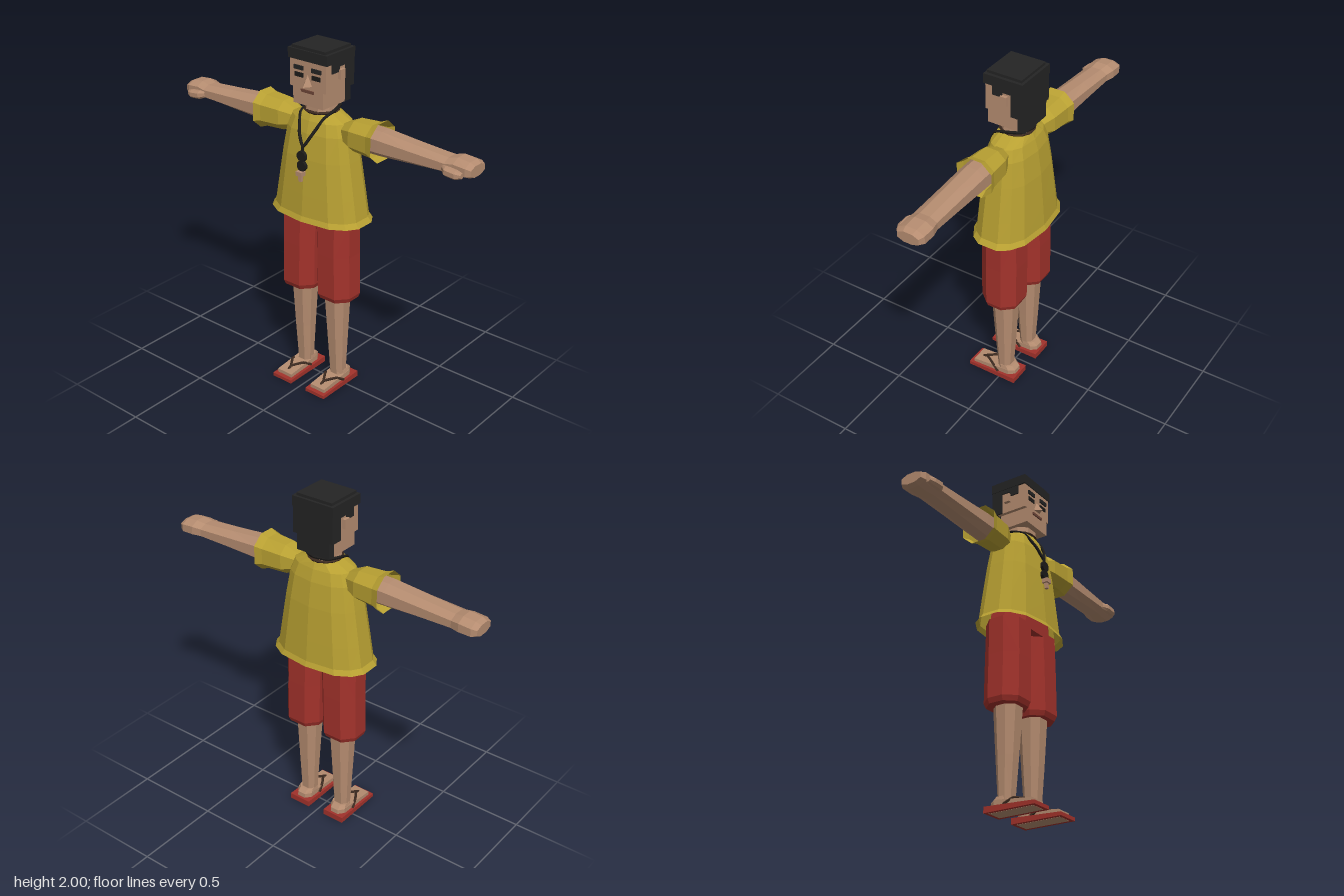
import * as THREE from 'three';
import { ConvexGeometry } from 'three/addons/geometries/ConvexGeometry.js';

const V = (x, y, z) => new THREE.Vector3(x, y, z);

// Unit cross-sections, ordered from +x towards +z
const OCT = [[1, -.42], [1, .42], [.5, 1], [-.5, 1], [-1, .42], [-1, -.42], [-.5, -1], [.5, -1]];
const TORSO = [[1, -.3], [1, .3], [.87, .62], [.6, .88], [0, 1], [-.6, .88], [-.87, .62],
  [-1, .3], [-1, -.3], [-.87, -.62], [-.6, -.88], [0, -1], [.6, -.88], [.87, -.62]];

// Skin between cross-sections; stations are [height, centreX, centreZ, halfX, halfZ], rising
function loft(section, stations, capBottom = true, capTop = true) {
  const pos = [], n = section.length;
  const rings = stations.map(([y, cx, cz, rx, rz]) => section.map(([a, b]) => V(cx + a * rx, y, cz + b * rz)));
  const tri = (...p) => p.forEach(v => pos.push(v.x, v.y, v.z));
  const centre = s => V(s[1], s[0], s[2]);
  for (let i = 0; i < n; i++) {
    const j = (i + 1) % n;
    for (let k = 0; k + 1 < rings.length; k++) {
      const a = rings[k], b = rings[k + 1];
      tri(a[i], b[i], a[j]);
      tri(a[j], b[i], b[j]);
    }
    if (capBottom) tri(centre(stations[0]), rings[0][i], rings[0][j]);
    const top = rings.at(-1);
    if (capTop) tri(centre(stations.at(-1)), top[j], top[i]);
  }
  const g = new THREE.BufferGeometry();
  g.setAttribute('position', new THREE.Float32BufferAttribute(pos, 3));
  g.computeVertexNormals();
  return g;
}

// Loft running outwards along +x; stations are [x, centreY, centreZ, halfY, halfZ]
const sideLoft = (stations, a, b) =>
  loft(OCT, stations.map(([x, cy, cz, ry, rz]) => [x, -cy, cz, ry, rz]), a, b).rotateZ(-Math.PI / 2);

// Box given by its limits
const box = (x0, x1, y0, y1, z0, z1) =>
  new THREE.BoxGeometry(x1 - x0, y1 - y0, z1 - z0).translate((x0 + x1) / 2, (y0 + y1) / 2, (z0 + z1) / 2);

// Mirrored copy across x with corner order restored
function mirrored(geo) {
  const g = geo.index ? geo.toNonIndexed() : geo.clone();
  g.scale(-1, 1, 1);
  const p = g.attributes.position;
  for (let i = 0; i < p.count; i += 3) {
    const b = V().fromBufferAttribute(p, i + 1), c = V().fromBufferAttribute(p, i + 2);
    p.setXYZ(i + 1, c.x, c.y, c.z);
    p.setXYZ(i + 2, b.x, b.y, b.z);
  }
  g.computeVertexNormals();
  return g;
}

const tube = (points, r, closed = false) =>
  new THREE.TubeGeometry(new THREE.CatmullRomCurve3(points, closed, 'catmullrom', 0.2), closed ? 40 : 12, r, 5, closed);

export function createModel() {
  const model = new THREE.Group();
  model.name = 'figure';
  const mat = (name, color, side = THREE.FrontSide) =>
    Object.assign(new THREE.MeshStandardMaterial({ color, flatShading: true, side }), { name });
  const skin = mat('skin', 0xb58c70);
  const shirt = mat('yellow shirt', 0xb8a032, THREE.DoubleSide);
  const red = mat('red cloth', 0xa2322b);
  const hair = mat('black hair', 0x242424);
  const cord = mat('black cord', 0x1c1b1a);
  const strapBrown = mat('dark brown', 0x3c2a20);
  const lip = mat('lip', 0x6e4638);

  const add = (name, geo, m) => {
    const mesh = new THREE.Mesh(geo, m);
    mesh.name = name;
    model.add(mesh);
  };
  const pair = (name, geo, m) => {
    add(name + 'Left', geo, m);
    add(name + 'Right', mirrored(geo), m);
  };

  // Head and face
  add('head', box(-.12, .12, 1.78, 1.95, -.085, .105), skin);
  add('jaw', box(-.1, .1, 1.69, 1.78, -.085, .105), skin);
  add('neck', loft(OCT, [[1.6, 0, -.01, .085, .085], [1.7, 0, -.01, .075, .08]]), skin);
  add('nose', new ConvexGeometry([V(-.032, 1.8, .1), V(.032, 1.8, .1), V(0, 1.8, .145), V(0, 1.865, .1)]), skin);
  add('mouth', box(-.042, .042, 1.762, 1.777, .105, .112), lip);
  pair('eye', box(.03, .086, 1.838, 1.862, .104, .109), cord);
  pair('eyebrow', box(.028, .09, 1.878, 1.9, .104, .113), hair);
  pair('ear', box(.118, .14, 1.838, 1.89, -.03, .008), skin);

  // Hair
  add('hairCrown', box(-.112, .112, 1.98, 2, -.105, .1), hair);
  add('hairTop', box(-.13, .13, 1.93, 1.985, -.12, .11), hair);
  add('hairBack', box(-.127, .127, 1.78, 1.93, -.118, -.05), hair);
  add('hairNape', box(-.103, .103, 1.69, 1.78, -.118, -.075), hair);
  pair('sideburn', box(.11, .127, 1.877, 1.93, .002, .06), hair);
  pair('sideHair', box(.11, .127, 1.905, 1.93, -.05, .002), hair);

  // Shirt, open at the hem
  add('shirtBody', loft(TORSO, [
    [1.05, 0, -.01, .3, .185], [1.078, 0, -.01, .278, .172], [1.2, 0, -.01, .258, .163],
    [1.4, 0, -.01, .225, .147], [1.54, 0, -.01, .2, .127], [1.605, 0, -.01, .172, .107],
    [1.642, 0, -.01, .095, .09]], false, true), shirt);
  pair('sleeve', sideLoft([
    [.15, 1.555, -.01, .045, .045], [.24, 1.558, -.01, .083, .083],
    [.36, 1.558, -.01, .09, .092], [.402, 1.558, -.01, .106, .104]], true, false), shirt);

  // Arms, hands and thumbs
  pair('arm', sideLoft([
    [.25, 1.56, -.01, .07, .075], [.42, 1.56, -.01, .067, .074], [.62, 1.557, -.012, .053, .071],
    [.82, 1.555, -.015, .04, .07]]), skin);
  pair('hand', sideLoft([
    [.82, 1.555, -.015, .04, .07], [.87, 1.56, -.024, .046, .076],
    [.94, 1.557, -.024, .042, .076], [.968, 1.555, -.022, .03, .062]]), skin);
  pair('thumb', sideLoft([
    [.81, 1.55, .045, .018, .014], [.84, 1.545, .06, .024, .025],
    [.9, 1.54, .062, .023, .024], [.93, 1.54, .058, .014, .014]]), skin);

  // Shorts
  add('shortsHips', loft(OCT, [[1.03, 0, -.005, .225, .108], [1.25, 0, -.005, .2, .105]]), red);
  pair('shortsLeg', loft(OCT, [
    [.572, .127, -.005, .104, .1], [.6, .127, -.005, .114, .112],
    [.85, .122, -.005, .113, .112], [1.06, .118, -.005, .117, .108]]), red);

  // Legs and feet
  pair('leg', loft(OCT, [[.06, .12, -.01, .044, .04], [.3, .119, -.008, .055, .056], [.6, .117, -.006, .07, .073]]), skin);
  pair('ankle', loft(OCT, [[.03, .122, -.03, .05, .06], [.06, .122, -.03, .05, .058], [.082, .121, -.02, .046, .046]]), skin);
  const foot = box(.072, .174, .018, .065, -.05, .18);
  const fp = foot.attributes.position;
  for (let i = 0; i < fp.count; i++) {
    if (fp.getZ(i) > 0 && fp.getY(i) > .04) fp.setY(i, .042);
  }
  pair('foot', foot, skin);

  // Sandals: soles thicken towards the heel
  const sole = box(.055, .19, 0, .035, -.105, .205);
  const sp = sole.attributes.position;
  for (let i = 0; i < sp.count; i++) {
    if (sp.getZ(i) > 0 && sp.getY(i) > .02) sp.setY(i, .02);
  }
  pair('sandalSole', sole, red);
  pair('soleTread', box(.075, .17, 0, .003, -.085, .185).translate(0, -.001, 0), skin);
  for (const x of [.064, .182]) {
    pair('sandalStrap', tube([V(x, .03, .01), V(x * .7 + .037, .06, .06), V(.123, .054, .125), V(.123, .03, .16)], .008), strapBrown);
  }

  // Necklace with two discs and a small pendant
  const half = [V(.07, 1.668, -.08), V(.092, 1.66, -.01), V(.08, 1.63, .07), V(.04, 1.54, .128)];
  const loop = [V(0, 1.672, -.105), ...half, V(0, 1.475, .148),
    ...half.map(p => V(-p.x, p.y, p.z)).reverse()];
  add('necklaceCord', tube(loop, .009, true), cord);
  add('neckBand', new THREE.TorusGeometry(.088, .01, 5, 14).rotateX(Math.PI / 2).translate(0, 1.648, -.01), strapBrown);
  add('cordDrop', box(-.006, .006, 1.335, 1.48, .145, .157), cord);
  for (const y of [1.425, 1.37]) {
    add('necklaceDisc', new THREE.CylinderGeometry(.03, .03, .018, 10).rotateX(Math.PI / 2).translate(0, y, .155), cord);
  }
  add('pendantTop', box(-.02, .02, 1.318, 1.343, .15, .185), skin);
  add('pendantTip', box(-.009, .009, 1.285, 1.32, .158, .176), skin);
  return model;
}
